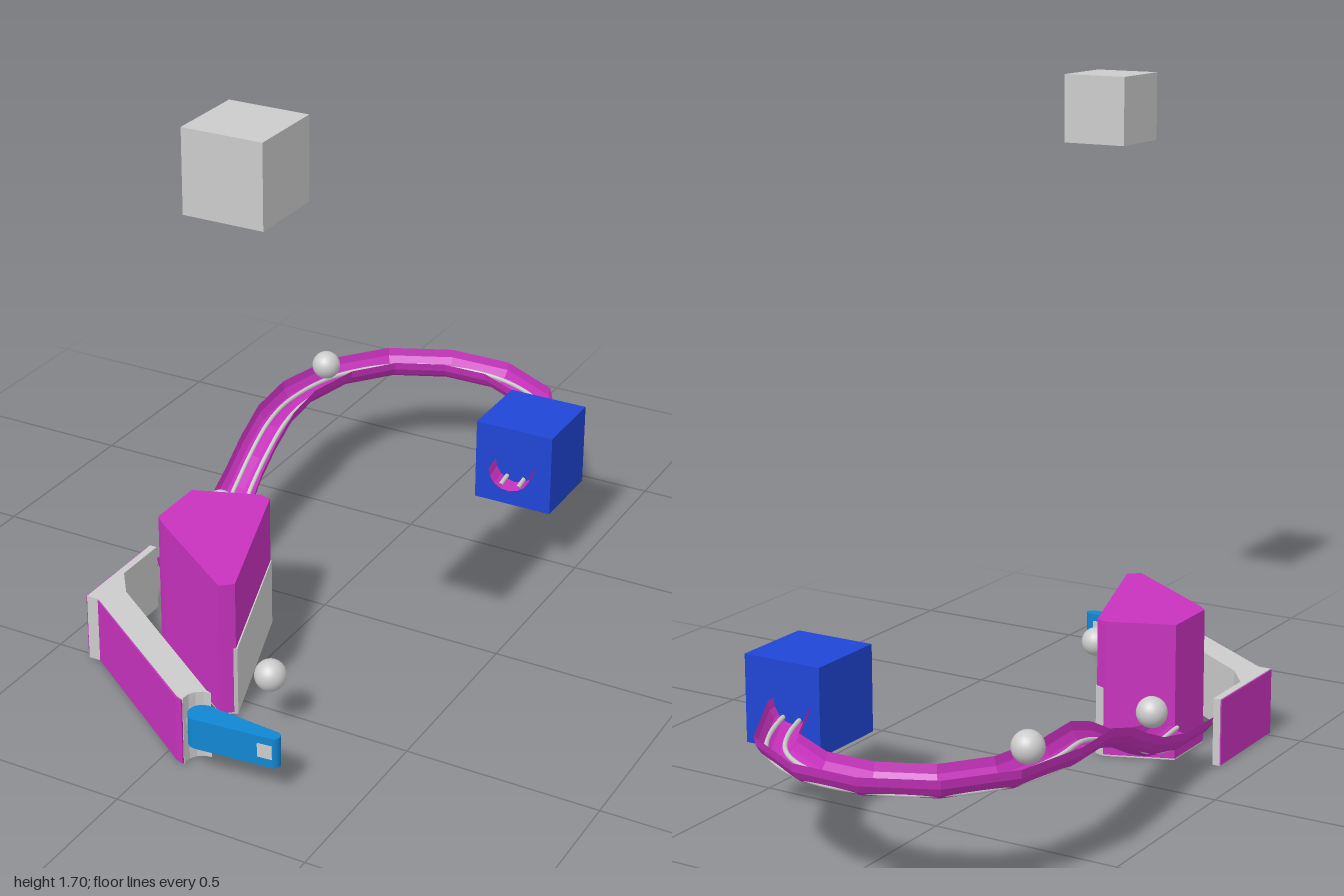
import * as THREE from 'three';

const mat = (color, extra = {}) => new THREE.MeshStandardMaterial({ color, ...extra });
const GREY = mat(0xcccccc);
const PINK = mat(0xc832be);
const BLUE = mat(0x2046d6);
const CYAN = mat(0x1186d2);

export function createModel() {
  const model = new THREE.Group();

  function add(name, geometry, material, x = 0, y = 0, z = 0) {
    const mesh = new THREE.Mesh(geometry, material);
    mesh.name = name;
    mesh.position.set(x, y, z);
    model.add(mesh);
    return mesh;
  }

  // Upright prism from a plan outline of [x, z] corners
  function prism(name, outline, y0, y1, material) {
    const shape = new THREE.Shape(outline.map(([x, z]) => new THREE.Vector2(x, z)));
    const g = new THREE.ExtrudeGeometry(shape, { depth: y1 - y0, bevelEnabled: false, curveSegments: 8 });
    g.rotateX(Math.PI / 2);
    return add(name, g, material, 0, y1, 0);
  }

  // Floating cube and the box over the end of the track
  add('floatingCube', new THREE.BoxGeometry(0.19, 0.19, 0.19), GREY, 0.315, 1.6, 0.905);
  add('exitBox', new THREE.BoxGeometry(0.22, 0.225, 0.22), BLUE, 0.335, 0.293, -0.546);

  // Balls
  [[-0.375, 0.33, -0.69], [-0.33, 0.205, -0.02], [0.165, 0.15, 0.57]].forEach((p, i) =>
    add(`ball${i + 1}`, new THREE.SphereGeometry(0.04, 24, 16), GREY, ...p));

  // Track stations: x, rim height, z, half width
  const stations = [
    [-0.318, 0.135, 0.2, 0.071], [-0.33, 0.14, 0.05, 0.064], [-0.345, 0.175, -0.1, 0.06],
    [-0.362, 0.217, -0.2, 0.053], [-0.373, 0.265, -0.3, 0.054], [-0.386, 0.303, -0.42, 0.055],
    [-0.397, 0.308, -0.57, 0.055], [-0.36, 0.308, -0.75, 0.054], [-0.26, 0.308, -0.88, 0.053],
    [-0.11, 0.308, -0.948, 0.053], [0.045, 0.308, -0.948, 0.053], [0.197, 0.308, -0.865, 0.052],
    [0.305, 0.308, -0.67, 0.054], [0.35, 0.31, -0.38, 0.058],
  ];
  const centres = stations.map(([x, y, z]) => new THREE.Vector3(x, y, z));
  const sides = centres.map((c, i) => {
    const a = centres[Math.max(i - 1, 0)];
    const b = centres[Math.min(i + 1, centres.length - 1)];
    return new THREE.Vector3(-(b.z - a.z), 0, b.x - a.x).normalize();
  });

  // Half-pipe channel
  const SEG = 8;
  const pos = [];
  const index = [];
  stations.forEach(([, , , w], i) => {
    for (let j = 0; j <= SEG; j++) {
      const t = (Math.PI * j) / SEG;
      const p = centres[i].clone().addScaledVector(sides[i], -w * Math.cos(t));
      pos.push(p.x, p.y - 0.058 * Math.sin(t), p.z);
      if (i && j) {
        const d = i * (SEG + 1) + j;
        const c = d - 1, b = d - SEG - 1, a = b - 1;
        index.push(a, b, c, b, d, c);
      }
    }
  });
  const channel = new THREE.BufferGeometry();
  channel.setAttribute('position', new THREE.Float32BufferAttribute(pos, 3));
  channel.setIndex(index);
  channel.computeVertexNormals();
  add('trackChannel', channel, mat(0xc832be, { side: THREE.DoubleSide, flatShading: true }));

  // Pair of thin rails inside the channel
  for (const s of [-1, 1]) {
    const path = new THREE.CatmullRomCurve3(centres.map((c, i) => {
      const p = c.clone().addScaledVector(sides[i], s * stations[i][3] * 0.42);
      p.y -= 0.044;
      return p;
    }));
    add(s < 0 ? 'rightRail' : 'leftRail', new THREE.TubeGeometry(path, 80, 0.006, 8), GREY);
  }

  // Wedge block with a grey underside and a grey lower panel on its long side
  const wedge = [[-0.28, 0.2], [-0.11, 0.135], [-0.08, 0.145], [0.06, 0.555],
    [0.03, 0.582], [-0.25, 0.387], [-0.28, 0.36]];
  prism('wedgeBlock', wedge, 0.004, 0.365, PINK);
  prism('wedgeBase', wedge, 0, 0.004, GREY);
  prism('wedgePanel', [[-0.105, 0.134], [-0.078, 0.142], [0.064, 0.555], [0.058, 0.562],
    [0.05, 0.555], [-0.085, 0.155]], 0, 0.185, GREY);

  // Angled guide wall with a rounded socket at its end
  const socket = [0, 1, 2, 3, 4].map((i) => {
    const t = -1.0 - i * 0.42;
    return [0.104 + 0.045 * Math.cos(t - 0.55), 0.792 + 0.045 * Math.sin(t - 0.55)];
  });
  prism('guideWall', [[-0.4, 0.22], [-0.38, 0.22], [-0.38, 0.375], [-0.325, 0.45],
    [0.09, 0.742], ...socket, [0.062, 0.803], [0.04, 0.795], [-0.365, 0.515], [-0.4, 0.515]], 0, 0.18, GREY);
  prism('guideWallFrontFace', [[-0.363, 0.514], [-0.366, 0.518], [0.038, 0.799], [0.06, 0.807],
    [0.06, 0.8], [0.04, 0.793]], 0.002, 0.178, PINK);
  add('guideWallSideFace', new THREE.BoxGeometry(0.004, 0.176, 0.291), PINK, -0.401, 0.09, 0.368);

  // Tapered flipper with rounded ends
  const R = 0.034, r = 0.016, L = 0.195;
  const flipperShape = new THREE.Shape();
  flipperShape.absarc(0, 0, R, Math.PI / 2, Math.PI * 1.5);
  flipperShape.absarc(L, 0, r, -Math.PI / 2, Math.PI / 2);
  flipperShape.closePath();
  const flipperGeo = new THREE.ExtrudeGeometry(flipperShape, { depth: 0.08, bevelEnabled: false, curveSegments: 12 });
  flipperGeo.rotateX(Math.PI / 2);
  const flipper = add('flipper', flipperGeo, CYAN, 0.11, 0.155, 0.797);

  // Grey strip behind the flipper, patch by its tip and patch at its pivot
  const taper = Math.atan2(R - r, L);
  const strip = new THREE.Mesh(new THREE.BoxGeometry(0.17, 0.036, 0.004), GREY);
  strip.name = 'flipperStrip';
  strip.position.set(L / 2, -0.038, -(R + r) / 2);
  strip.rotation.y = -taper;
  const patch = new THREE.Mesh(new THREE.BoxGeometry(0.038, 0.036, 0.004), GREY);
  patch.name = 'flipperTipPatch';
  patch.position.set(L - 0.015, -0.038, r + 0.0015);
  patch.rotation.y = taper;
  const pivot = new THREE.Mesh(new THREE.BoxGeometry(0.008, 0.036, 0.02), GREY);
  pivot.name = 'flipperPivotPatch';
  pivot.position.set(-R + 0.002, -0.038, 0);
  flipper.add(strip, patch, pivot);

  return model;
}
